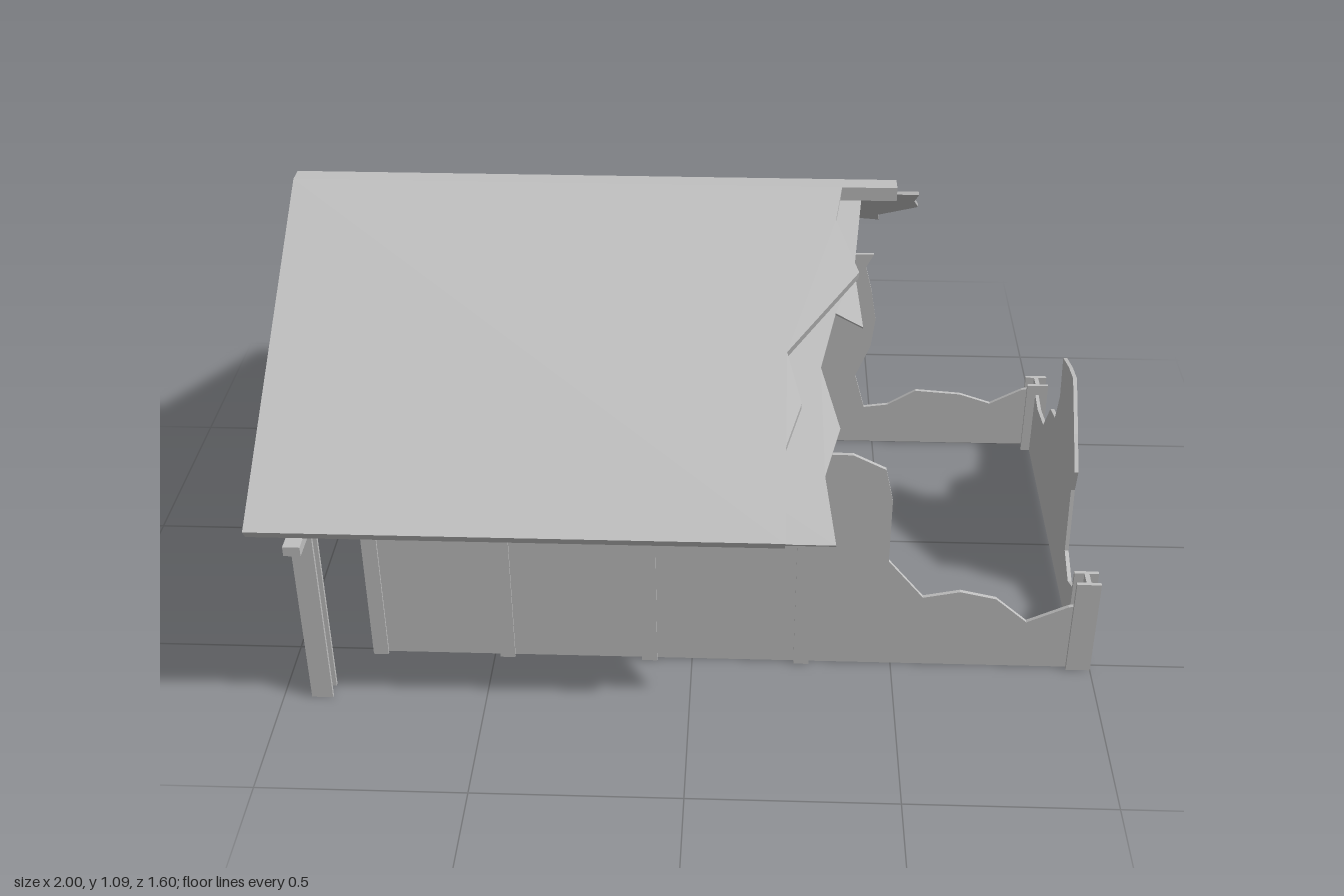
import * as THREE from 'three';

const RIDGE_Y = 1.09, RIDGE_HALF = 0.023;
const RUN = 0.775, DROP = 0.505;
const SLOPE = Math.hypot(RUN, DROP);
const COS = RUN / SLOPE, SIN = DROP / SLOPE;

export function createModel() {
  const model = new THREE.Group();
  model.name = 'ruinedHouse';
  const grey = new THREE.MeshStandardMaterial({ color: 0xc0c0c0 });
  grey.name = 'plain grey';

  const add = (name, geometry) => {
    const mesh = new THREE.Mesh(geometry, grey);
    mesh.name = name;
    model.add(mesh);
    return mesh;
  };
  const plate = (points, depth) => new THREE.ExtrudeGeometry(
    new THREE.Shape(points.map(([a, b]) => new THREE.Vector2(a, b))),
    { depth, bevelEnabled: false });
  const box = (name, x0, x1, y0, y1, z0, z1) => {
    const g = new THREE.BoxGeometry(x1 - x0, y1 - y0, z1 - z0);
    return add(name, g.translate((x0 + x1) / 2, (y0 + y1) / 2, (z0 + z1) / 2));
  };

  // Wall running along x, outline given as [x, y]
  const longWall = (name, z, points) =>
    add(name, plate(points, 0.01).translate(0, 0, z - 0.005));

  // Wall running along z, outline given as [z, y]
  const crossWall = (name, x, points) =>
    add(name, plate(points, 0.01).rotateY(-Math.PI / 2).translate(x + 0.005, 0, 0));

  // Upright with an H-shaped section, flanges facing front and back
  const post = (name, x, z, w, d, h) => {
    const a = w / 2, b = d / 2, f = b - d * 0.18, k = w * 0.1;
    const section = [[-a, -b], [a, -b], [a, -f], [k, -f], [k, f], [a, f],
      [a, b], [-a, b], [-a, f], [-k, f], [-k, -f], [-a, -f]];
    add(name, plate(section, h).rotateX(-Math.PI / 2).translate(x, 0, z));
  };

  // Sloped roof layer: plan outline [x, distance from ridge line], between two depths
  const roofLayer = (name, side, top, bottom, plan) => {
    const points = plan.map(([x, z]) => [x, (z - RIDGE_HALF) / COS]);
    const g = plate(points, bottom - top);
    g.translate(0, 0, side > 0 ? top : -bottom);
    const down = new THREE.Vector3(0, -SIN, side * COS);
    const across = new THREE.Vector3(1, 0, 0);
    const normal = new THREE.Vector3().crossVectors(across, down);
    const m = new THREE.Matrix4().makeBasis(across, down, normal);
    m.setPosition(0, RIDGE_Y, side * RIDGE_HALF);
    add(name, g.applyMatrix4(m));
  };

  // Long walls with broken right ends
  longWall('frontWall', 0.503, [[-0.79, 0], [0.98, 0], [0.98, 0.2], [0.93, 0.19],
    [0.83, 0.14], [0.75, 0.21], [0.66, 0.23], [0.57, 0.21], [0.48, 0.32],
    [0.48, 0.5], [0.46, 0.59], [0.38, 0.63], [-0.79, 0.63]]);
  longWall('backWall', -0.503, [[-0.79, 0], [0.98, 0], [0.98, 0.2], [0.93, 0.19],
    [0.84, 0.14], [0.75, 0.17], [0.62, 0.18], [0.54, 0.13], [0.47, 0.12], [0.44, 0.23],
    [0.48, 0.33], [0.49, 0.42], [0.475, 0.51], [0.455, 0.59], [0.475, 0.63], [-0.79, 0.63]]);

  // Intact left wall and jagged right wall
  crossWall('leftWall', -0.79, [[-0.5, 0], [0.5, 0], [0.5, 0.63], [-0.5, 0.63]]);
  crossWall('rightWall', 0.97, [[0.5, 0], [-0.5, 0], [-0.5, 0.2], [-0.4, 0.185],
    [-0.29, 0.205], [-0.21, 0.31], [-0.135, 0.33], [-0.1, 0.42], [-0.12, 0.53],
    [-0.03, 0.555], [0.04, 0.565], [0.14, 0.46], [0.205, 0.385], [0.19, 0.32],
    [0.21, 0.14], [0.295, 0.105], [0.38, 0.145], [0.46, 0.12], [0.5, 0.12]]);

  // Wall posts, broken corner posts and porch posts
  for (const side of [1, -1]) {
    for (const x of [-0.79, -0.467, -0.107, 0.275]) {
      post('wallPost', x, side * 0.503, 0.038, 0.035, 0.73);
    }
    post('brokenCornerPost', 0.97, side * 0.4925, 0.06, 0.055, side > 0 ? 0.27 : 0.225);
  }
  post('porchPostFront', -0.905, 0.66, 0.052, 0.052, 0.625);
  post('porchPostBack', -0.905, -0.7, 0.052, 0.052, 0.59);
  box('porchBeam', -0.925, -0.885, 0.495, 0.52, -0.797, 0.765);

  // Roof slabs with broken right edges
  roofLayer('roofFront', 1, 0, 0.03, [[-1, RIDGE_HALF], [0.35, RIDGE_HALF], [0.335, 0.1],
    [0.39, 0.22], [0.22, 0.4], [0.255, 0.51], [0.22, 0.6], [0.22, 0.798], [-1, 0.798]]);
  roofLayer('roofBack', -1, 0, 0.03, [[-1, RIDGE_HALF], [0.475, RIDGE_HALF], [0.465, 0.22],
    [0.355, 0.33], [0.35, 0.4], [0.22, 0.4], [0.18, 0.5], [0.22, 0.68], [0.22, 0.798], [-1, 0.798]]);
  box('ridgeCap', -1, 0.485, 1.055, RIDGE_Y, -RIDGE_HALF, RIDGE_HALF);

  // Thin lining under the slabs, torn further out
  roofLayer('liningFront', 1, 0.03, 0.038, [[-1, RIDGE_HALF], [0.4, RIDGE_HALF], [0.38, 0.2],
    [0.4, 0.33], [0.335, 0.3], [0.3, 0.42], [0.345, 0.55], [0.31, 0.65], [0.335, 0.79], [-1, 0.79]]);
  roofLayer('liningBack', -1, 0.03, 0.038, [[-1, 0.01], [0.54, 0.01], [0.54, 0.12],
    [0.56, 0.22], [0.47, 0.38], [0.48, 0.48], [0.4, 0.44], [0.32, 0.42], [0.26, 0.44],
    [0.235, 0.52], [0.27, 0.66], [0.265, 0.79], [-1, 0.79]]);

  // Gable closing the left end of the roof
  crossWall('leftGable', -0.995, [[-0.775, 0.56], [0.775, 0.56], [0.785, 0.585],
    [RIDGE_HALF, 1.08], [-RIDGE_HALF, 1.08], [-0.785, 0.585]]);

  return model;
}
